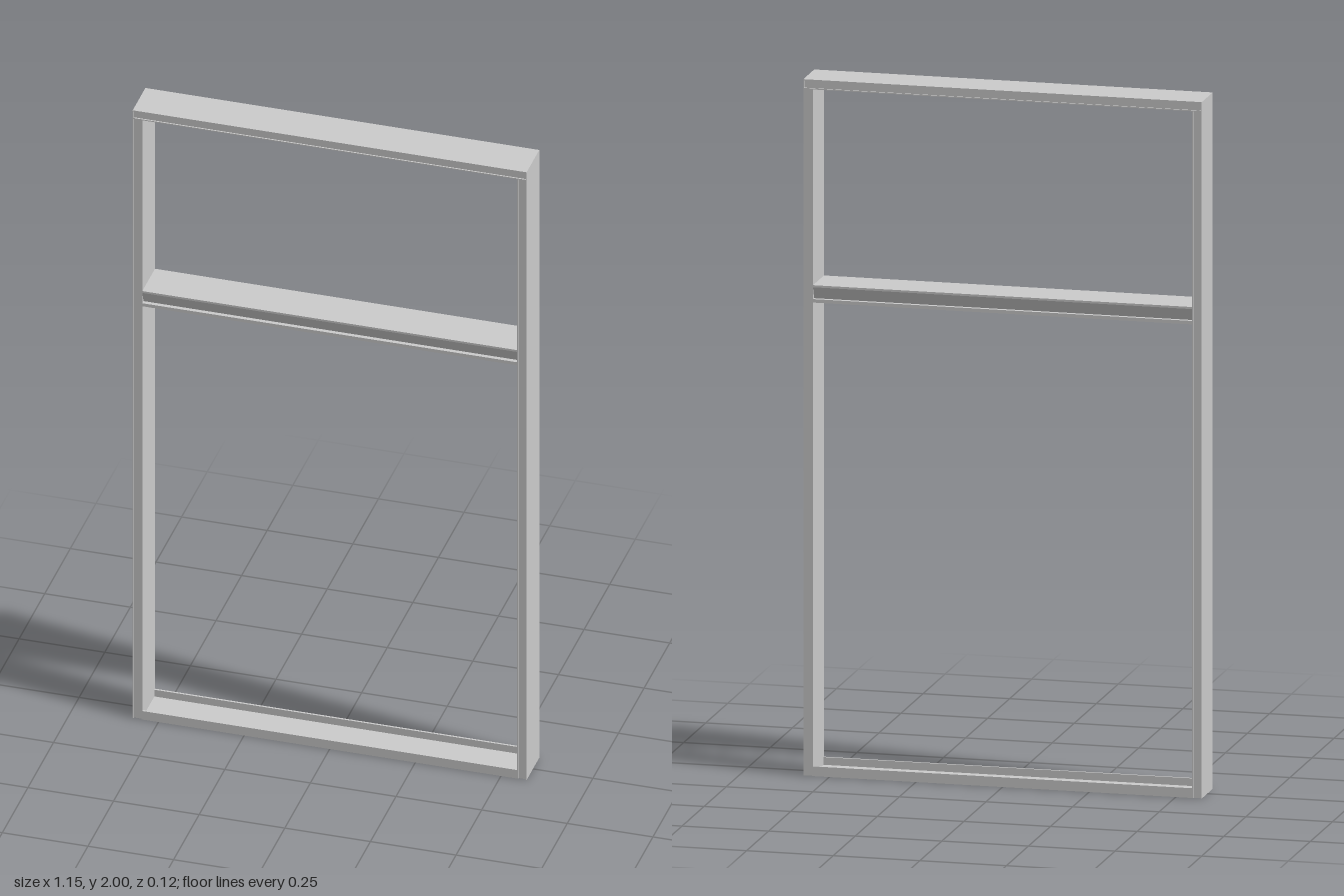
import * as THREE from 'three';

const W = 0.575, H = 2, D = 0.062, T = 0.028;   // half width, height, half depth, member thickness

const material = new THREE.MeshStandardMaterial({ color: 0xcccccc, flatShading: true, side: THREE.DoubleSide });

// Mirrors a half section (z >= 0, listed from top to bottom) to a full closed section
function mirrored(half) {
  const points = half.concat(half.map(([z, v]) => [-z, v]).reverse());
  return points.map(([z, v]) => new THREE.Vector2(z, v));
}

// Extrudes a section along a member, centred on its length
function member(name, half, length, holeHalf) {
  const shape = new THREE.Shape(mirrored(half));
  if (holeHalf) shape.holes.push(new THREE.Path(mirrored(holeHalf)));
  const geometry = new THREE.ExtrudeGeometry(shape, { depth: length, bevelEnabled: false });
  geometry.translate(0, 0, -length / 2);
  geometry.rotateY(-Math.PI / 2);               // section depth to z, length to x
  const mesh = new THREE.Mesh(geometry, material);
  mesh.name = name;
  return mesh;
}

export function createModel() {
  const group = new THREE.Group();
  group.name = 'transomFrame';
  const inner = W - T;

  // Hollow section with thin lips on both edges of its narrow faces
  const lip = 0.003, recess = 0.004;
  const tube = [
    [D, T], [D, T - lip], [D - recess, T - lip],
    [D - recess, lip], [D, lip], [D, 0],
  ];
  const hollow = [[D - 0.01, T - 0.004], [D - 0.01, 0.004]];

  // Head across the full width
  const head = member('head', tube, 2 * W, hollow);
  head.position.y = H - T;
  group.add(head);
  // End caps closing the head
  for (const side of [-1, 1]) {
    const cap = new THREE.Mesh(new THREE.BoxGeometry(0.002, T, 2 * D), material);
    cap.name = 'headEndCap';
    cap.position.set(side * (W - 0.001), H - T / 2, 0);
    group.add(cap);
  }

  // Jambs, open at the foot
  for (const side of [-1, 1]) {
    const jamb = member(side > 0 ? 'leftJamb' : 'rightJamb', tube, H - T, hollow);
    jamb.rotation.z = Math.PI / 2;
    jamb.position.set(side * (inner + T / 2) + T / 2, (H - T) / 2, 0);
    group.add(jamb);
  }

  // Sill: shallow channel with upstanding front and back flanges
  const sill = member('sill', [
    [0, 0.006], [D - 0.006, 0.006], [D - 0.006, T], [D, T], [D, 0], [0, 0],
  ], 2 * inner);
  group.add(sill);

  // Transom: flat top, faces leaning inward to a lower lip, channel below
  const transom = member('transom', [
    [D, 0.05], [D, 0.044], [D - 0.012, 0.01], [D, 0.01], [D, 0],
    [D - 0.016, 0], [D - 0.016, 0.014],
  ], 2 * inner);
  transom.position.y = 1.36;
  group.add(transom);

  return group;
}
